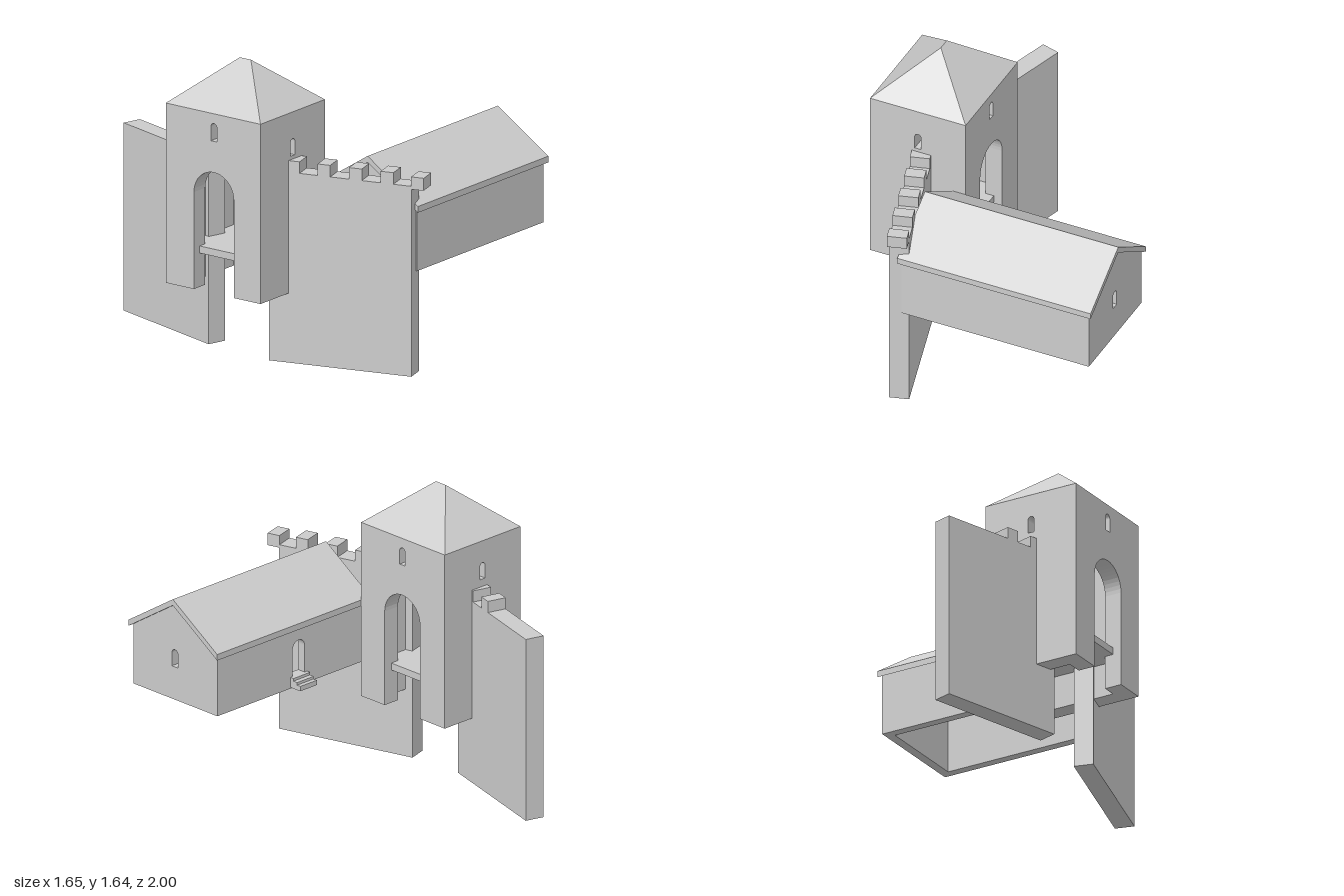
import * as THREE from 'three';

const mat = new THREE.MeshStandardMaterial({ color: 0xcccccc, flatShading: true });

function add(parent, name, geo, x = 0, y = 0, z = 0, ry = 0) {
  const m = new THREE.Mesh(geo, mat);
  m.name = name;
  m.position.set(x, y, z);
  m.rotation.y = ry;
  parent.add(m);
  return m;
}

const box = (w, h, d) => new THREE.BoxGeometry(w, h, d);
const extrude = (shape, depth) =>
  new THREE.ExtrudeGeometry(shape, { depth, bevelEnabled: false, curveSegments: 10 });
const polygon = (pts) => new THREE.Shape(pts.map(([u, v]) => new THREE.Vector2(u, v)));

// Round-headed opening centred on u
function arch(u, bottom, top, width) {
  const r = width / 2, p = new THREE.Path();
  p.moveTo(u - r, bottom);
  p.lineTo(u + r, bottom);
  p.lineTo(u + r, top - r);
  p.absarc(u, top - r, r, 0, Math.PI, false);
  p.closePath();
  return p;
}

// Extrude in a (z, y) plane; runs from x towards -x
const addAlongX = (parent, name, shape, x, length) =>
  add(parent, name, extrude(shape, length), x, 0, 0, -Math.PI / 2);

function makeTower() {
  const g = new THREE.Group();
  g.name = 'gateTower';
  const x0 = -0.825, x1 = -0.255, z0 = -0.39, z1 = 0.25, y0 = 0.39, y1 = 1.4, t = 0.1;
  const cx = (x0 + x1) / 2, cz = (z0 + z1) / 2;

  // Side walls with the tall gateway and a slit window
  const r = 0.135, gc = -0.065, spring = 0.935;
  for (const [name, x] of [['rightTowerWall', x1], ['leftTowerWall', x0 + t]]) {
    const s = new THREE.Shape();
    s.moveTo(z0, y0);
    s.lineTo(gc - r, y0);
    s.lineTo(gc - r, spring);
    s.absarc(gc, spring, r, Math.PI, 0, true);
    s.lineTo(gc + r, y0);
    s.lineTo(z1, y0);
    s.lineTo(z1, y1);
    s.lineTo(z0, y1);
    s.closePath();
    s.holes.push(arch(gc, 1.245, 1.345, 0.04));
    addAlongX(g, name, s, x, t);
  }

  // Front and back walls with slit windows
  for (const [name, z, wy] of [['frontTowerWall', z1 - t, 1.155], ['backTowerWall', z0, 1.178]]) {
    const s = polygon([[x0 + t, y0], [x1 - t, y0], [x1 - t, y1], [x0 + t, y1]]);
    s.holes.push(arch(cx, wy, wy + 0.095, 0.037));
    add(g, name, extrude(s, t), 0, 0, z);
  }

  add(g, 'towerFloor', box(x1 - x0 - 0.1, 0.04, z1 - z0 - 2 * t), cx, 0.6, cz);

  // Hipped roof with a short ridge
  const roof = box(x1 - x0, 0.24, z1 - z0);
  const p = roof.attributes.position;
  for (let i = 0; i < p.count; i++) {
    if (p.getY(i) > 0) {
      p.setX(i, 0);
      p.setZ(i, Math.sign(p.getZ(i)) * 0.037);
    }
  }
  roof.computeVertexNormals();
  add(g, 'towerRoof', roof, cx, 1.52, cz);
  return g;
}

// Slanting curtain wall; side is +1 for front, -1 for back
function makeCurtain(name, side, zIn, zOut, xIn, bottom, merlons) {
  const g = new THREE.Group();
  g.name = name;
  const a = (16 * Math.PI) / 180, t = 0.109, top = 1.07;
  const xAt = (d) => xIn + (d - zIn) * Math.tan(a);
  const mid = (zIn + zOut) / 2;
  add(g, 'curtainWall', box(t, top - bottom, (zOut - zIn) / Math.cos(a)),
    xAt(mid), (top + bottom) / 2, side * mid, side * a);
  for (const [d, y] of merlons) {
    add(g, 'merlon', box(t, 0.07, 0.073), xAt(d), y, side * d, side * a);
  }
  return g;
}

function makeHall() {
  const g = new THREE.Group();
  g.name = 'hall';
  const x0 = -0.313, x1 = 0.805, zc = 0.595, hw = 0.322, y0 = 0.575, eave = 0.92, t = 0.05;

  // Gable walls, the outer one with a window
  for (const [name, x, open] of [['rightGable', x1, true], ['leftGable', x0 + t, false]]) {
    const s = polygon([[zc - hw, y0], [zc + hw, y0], [zc + hw, eave], [zc, 1.14], [zc - hw, eave]]);
    if (open) s.holes.push(arch(0.598, 0.765, 0.865, 0.047));
    addAlongX(g, name, s, x, t);
  }

  // Long walls, the back one with a doorway
  for (const [name, z, door] of [['frontHallWall', zc + hw - t, false], ['backHallWall', zc - hw, true]]) {
    const s = polygon([[x0 + t, y0], [x1 - t, y0], [x1 - t, eave], [x0 + t, eave]]);
    if (door) s.holes.push(arch(0.193, 0.64, 0.84, 0.09));
    add(g, name, extrude(s, t), 0, 0, z);
  }

  // Gabled roof slab
  const rw = 0.34;
  addAlongX(g, 'hallRoof', polygon([
    [zc - rw, 0.91], [zc, 1.13], [zc + rw, 0.91],
    [zc + rw, 0.945], [zc, 1.165], [zc - rw, 0.945],
  ]), 0.824, 1.154);

  // Doorstep
  addAlongX(g, 'doorSteps', polygon([
    [0.285, 0.582], [0.197, 0.582], [0.197, 0.61], [0.222, 0.61],
    [0.222, 0.625], [0.25, 0.625], [0.25, 0.64], [0.285, 0.64],
  ]), 0.255, 0.125);
  return g;
}

export function createModel() {
  const model = new THREE.Group();
  model.name = 'gatehouse';
  model.add(
    makeTower(),
    makeCurtain('frontCurtain', 1, 0.125, 0.915, -0.555, 0,
      [[0.26, 1.1], [0.43, 1.1], [0.605, 1.1], [0.78, 1.1], [0.948, 1.088]]),
    makeCurtain('backCurtain', -1, 0.25, 0.985, -0.558, 0.015,
      [[0.38, 1.1], [0.54, 1.1]]),
    makeHall(),
  );
  return model;
}
